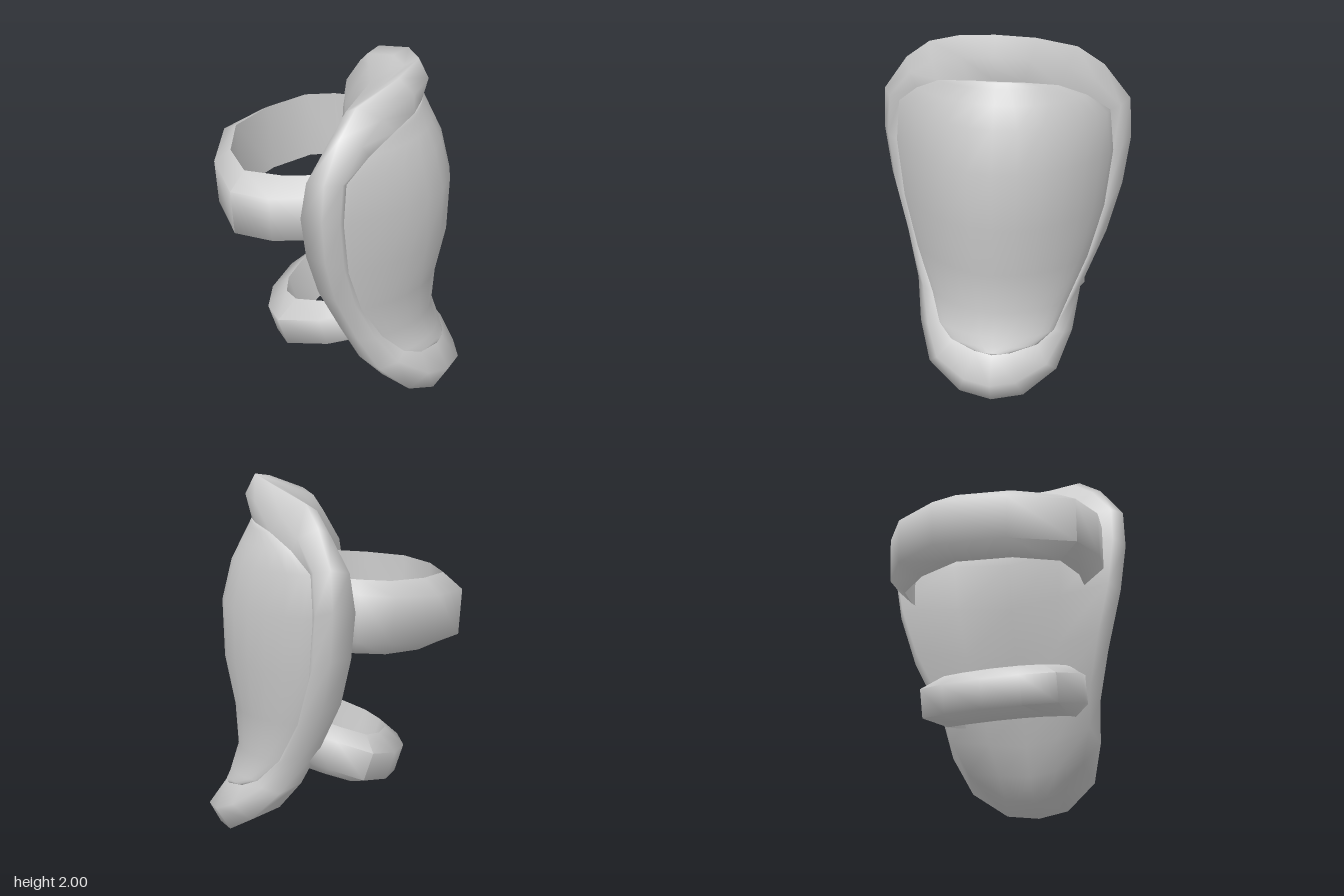
import * as THREE from 'three';
import { mergeVertices, toCreasedNormals } from 'three/addons/utils/BufferGeometryUtils.js';

const V = (x, y, z) => new THREE.Vector3(x, y, z);
const material = new THREE.MeshStandardMaterial({ color: 0xcccccc, side: THREE.DoubleSide });

// Skin between rows of points; closeRow joins each row's ends, closeLoop joins last row to first
function loft(rows, closeRow = false, closeLoop = false) {
  const n = rows[0].length, m = rows.length, index = [];
  for (let i = 0; i < (closeLoop ? m : m - 1); i++) {
    for (let j = 0; j < (closeRow ? n : n - 1); j++) {
      const i2 = (i + 1) % m, j2 = (j + 1) % n;
      const a = i * n + j, b = i * n + j2, c = i2 * n + j2, d = i2 * n + j;
      index.push(a, b, c, a, c, d);
    }
  }
  const geometry = new THREE.BufferGeometry().setFromPoints(rows.flat());
  geometry.setIndex(index);
  const merged = mergeVertices(geometry);
  merged.computeVertexNormals();
  return merged;
}

function addMesh(parent, geometry, name) {
  const mesh = new THREE.Mesh(geometry, material);
  mesh.name = name;
  parent.add(mesh);
  return mesh;
}

// Half outline from top to bottom:
// outer edge x, y, z | back edge x | inner front edge x, y, z | shell centre x | liner centre x
const stations = [
  [0.42, 2.00, 0.00, 0.34, 0.44, 1.755, 0.00, 0.44, 0.34],
  [0.34, 1.97, 0.20, 0.26, 0.42, 1.75, 0.15, 0.445, 0.27],
  [0.15, 1.88, 0.40, 0.09, 0.34, 1.72, 0.32, 0.46, 0.16],
  [0.09, 1.77, 0.54, 0.03, 0.23, 1.64, 0.46, 0.50, 0.09],
  [0.03, 1.57, 0.68, -0.07, 0.13, 1.53, 0.58, 0.555, 0.02],
  [0.02, 1.35, 0.69, -0.10, 0.12, 1.30, 0.60, 0.61, 0.04],
  [0.03, 1.08, 0.65, -0.08, 0.14, 0.98, 0.56, 0.60, 0.10],
  [0.07, 0.80, 0.57, -0.03, 0.20, 0.70, 0.48, 0.545, 0.20],
  [0.18, 0.50, 0.44, 0.08, 0.30, 0.47, 0.38, 0.53, 0.30],
  [0.30, 0.29, 0.41, 0.18, 0.42, 0.34, 0.32, 0.57, 0.38],
  [0.46, 0.12, 0.34, 0.30, 0.51, 0.29, 0.24, 0.585, 0.44],
  [0.58, 0.01, 0.17, 0.48, 0.58, 0.26, 0.10, 0.60, 0.52],
  [0.64, 0.00, 0.00, 0.56, 0.60, 0.25, 0.00, 0.60, 0.56],
];

// Padded rim flowing into the dished back liner, a little wider at the lower left
function rimGeometry() {
  const section = ([ox, oy, oz, bx, fx, fy, fz, , lx], side) => {
    const z = oz * side * (side > 0 && oy < 0.6 ? 1.1 : 1);
    const outer = V(ox, oy, z);
    const front = V(fx, fy, fz * side);
    const crown = outer.clone().lerp(front, 0.45).add(V(oy < 0.2 ? 0.08 : 0.045, 0, 0));
    const back = V(bx, 1.2 + (oy - 1.2) * 0.94, z * 0.93);
    const middle = V(lx, back.y, 0);
    return [front, crown, outer, back, back.clone().lerp(middle, 0.5), middle];
  };
  const left = stations.map((s) => section(s, 1));
  const right = stations.slice(1, -1).reverse().map((s) => section(s, -1));
  return loft([...left, ...right], false, true);
}

// Domed shell: an arch across each height, flatter on the left than on the right
function shellGeometry() {
  const steps = 14;
  return loft(stations.map(([, , , , fx, fy, fz, cx]) =>
    Array.from({ length: steps + 1 }, (_, j) => {
      const s = Math.sin((j / steps - 0.5) * Math.PI);
      const arch = Math.max(0, 1 - s * s) ** (s > 0 ? 0.95 : 0.72);
      return V(fx + (cx - fx) * arch, fy, fz * s);
    })));
}

// Strap: outer and inner [x, z] paths, with a narrow outer face and wider inner face
function addStrap(parent, name, outer, inner, outerHalf, innerHalf, position, tilt) {
  const rows = outer.map(([ox, oz], i) => {
    const [ix, iz] = inner[i];
    return [V(ox, outerHalf, oz), V(ox, -outerHalf, oz),
      V(ix, -innerHalf, iz), V(ix, innerHalf, iz)];
  });
  const strap = addMesh(parent, toCreasedNormals(loft(rows, true), 1.2), name);
  strap.position.set(...position);
  strap.rotation.z = tilt;
}

export function createModel() {
  const model = new THREE.Group();
  model.name = 'strappedGuard';

  addMesh(model, rimGeometry(), 'rimAndLiner');
  addMesh(model, shellGeometry(), 'shell');

  addStrap(model, 'upperStrap',
    [[0.03, -0.59], [-0.12, -0.61], [-0.30, -0.60], [-0.54, -0.46], [-0.70, -0.21],
      [-0.66, 0.19], [-0.49, 0.53], [-0.27, 0.60], [-0.08, 0.58], [0.03, 0.56]],
    [[0.03, -0.51], [-0.11, -0.54], [-0.28, -0.52], [-0.47, -0.35], [-0.60, -0.11],
      [-0.56, 0.19], [-0.43, 0.42], [-0.21, 0.47], [-0.07, 0.46], [0.03, 0.45]],
    0.125, 0.197, [0, 1.31, 0], 0.07);

  addStrap(model, 'lowerStrap',
    [[0.05, -0.40], [-0.10, -0.43], [-0.30, -0.435], [-0.44, -0.265], [-0.51, -0.035],
      [-0.49, 0.18], [-0.39, 0.355], [-0.13, 0.44], [0.05, 0.42]],
    [[0.05, -0.30], [-0.10, -0.32], [-0.25, -0.31], [-0.33, -0.18], [-0.38, 0.00],
      [-0.36, 0.15], [-0.28, 0.26], [-0.10, 0.34], [0.05, 0.34]],
    0.08, 0.14, [0.1, 0.54, 0], 0.32);

  return model;
}
